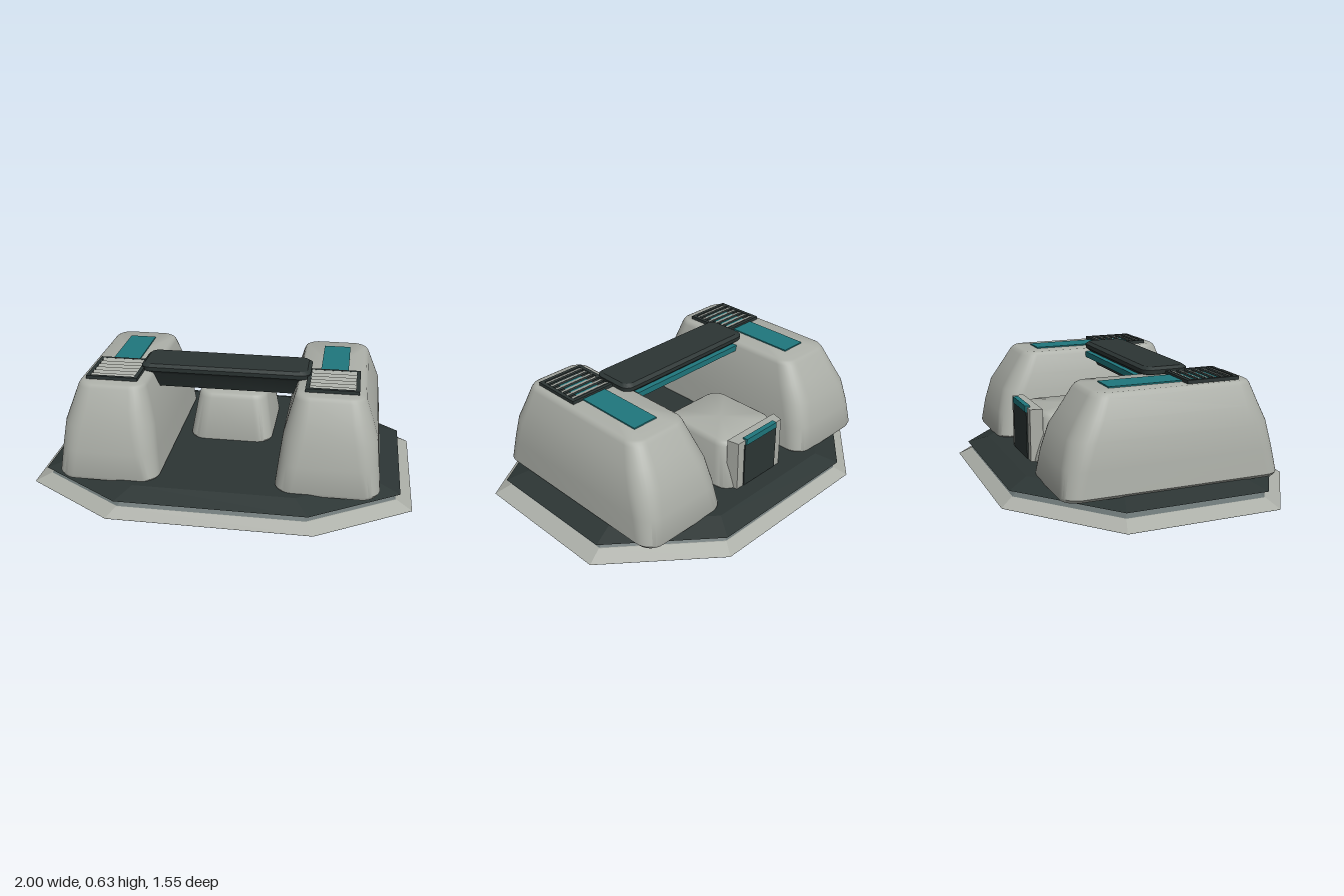
import * as THREE from 'three';
import { toCreasedNormals } from 'three/addons/utils/BufferGeometryUtils.js';

const mat = (name, color) => {
  const m = new THREE.MeshStandardMaterial({ color });
  m.name = name;
  return m;
};

// Closed octagonal ring, inset toward the middle by a scale
const octagon = (y, s) => [
  [1, -0.34], [1, 0.46], [0.52, 0.77], [-0.52, 0.77],
  [-1, 0.46], [-1, -0.34], [-0.48, -0.78], [0.48, -0.78],
].map(([x, z]) => [x * s, y, z * s]);

// Rounded rectangle ring: centre cx, half width hx, z range and corner radius
function roundRing(y, cx, hx, z0, z1, r) {
  const pts = [], n = 8;
  const corners = [[cx + hx - r, z1 - r], [cx - hx + r, z1 - r], [cx - hx + r, z0 + r], [cx + hx - r, z0 + r]];
  corners.forEach(([x, z], q) => {
    for (let i = 0; i <= n; i++) {
      const a = (q + i / n) * Math.PI / 2;
      pts.push([x + r * Math.cos(a), y, z + r * Math.sin(a)]);
    }
  });
  return pts;
}

// Skin between rings listed from bottom to top, with both ends capped
function loft(rings, crease = 0.65) {
  const pos = [], n = rings[0].length;
  const tri = (...p) => p.forEach((v) => pos.push(...v));
  const middle = (ring) => [0, 1, 2].map((k) => ring.reduce((s, p) => s + p[k], 0) / n);
  const last = rings[rings.length - 1], bottom = middle(rings[0]), top = middle(last);
  for (let j = 0; j < n; j++) {
    const k = (j + 1) % n;
    for (let i = 0; i < rings.length - 1; i++) {
      const lo = rings[i], up = rings[i + 1];
      tri(lo[j], up[j], up[k]);
      tri(lo[j], up[k], lo[k]);
    }
    tri(top, last[k], last[j]);
    tri(bottom, rings[0][j], rings[0][k]);
  }
  const g = new THREE.BufferGeometry();
  g.setAttribute('position', new THREE.Float32BufferAttribute(pos, 3));
  return toCreasedNormals(g, crease);
}

export function createModel() {
  const model = new THREE.Group();
  model.name = 'landingConsole';
  const grey = mat('lightGrey', 0xabaea7);
  const dark = mat('darkSlate', 0x2c3534);
  const slate = mat('midSlate', 0x667070);
  const teal = mat('teal', 0x1f777d);

  const add = (name, geometry, material, parent = model) => {
    const m = new THREE.Mesh(geometry, material);
    m.name = name;
    parent.add(m);
    return m;
  };
  // Box given by its ranges
  const box = (name, x0, x1, y0, y1, z0, z1, material, parent) => {
    const m = add(name, new THREE.BoxGeometry(x1 - x0, y1 - y0, z1 - z0), material, parent);
    m.position.set((x0 + x1) / 2, (y0 + y1) / 2, (z0 + z1) / 2);
    return m;
  };

  // Stepped octagonal base
  add('baseUnderside', loft([octagon(0, 0.999), octagon(0.004, 0.985)], 0.1), dark);
  add('baseSkirt', loft([octagon(0.002, 1), octagon(0.04, 0.92)], 0.1), grey);
  add('baseNeck', loft([octagon(0.04, 0.915), octagon(0.078, 0.84)], 0.1), slate);
  add('deck', loft([octagon(0.075, 0.937), octagon(0.115, 0.8)], 0.1), dark);

  // Two tall side pods
  for (const s of [1, -1]) {
    const side = new THREE.Group();
    side.name = s > 0 ? 'leftPod' : 'rightPod';
    model.add(side);
    add('podShell', loft([
      [0.105, 0.565, 0.25, -0.57, 0.57, 0.08],
      [0.122, 0.565, 0.265, -0.575, 0.575, 0.09],
      [0.25, 0.566, 0.252, -0.555, 0.554, 0.1],
      [0.38, 0.567, 0.237, -0.52, 0.528, 0.11],
      [0.47, 0.563, 0.21, -0.463, 0.492, 0.1],
      [0.565, 0.559, 0.18, -0.402, 0.453, 0.08],
      [0.58, 0.558, 0.172, -0.388, 0.443, 0.075],
      [0.587, 0.558, 0.16, -0.375, 0.43, 0.065],
    ].map(([y, cx, hx, z0, z1, r]) => roundRing(y, s * cx, hx, z0, z1, r))), grey, side);

    // Teal inlay and louvred vent on top
    const top = new THREE.Group();
    top.name = 'podTop';
    top.position.x = s * 0.565;
    side.add(top);
    box('inlay', -0.072, 0.072, 0.584, 0.594, -0.285, 0.11, teal, top);
    box('ventFloor', -0.135, 0.135, 0.582, 0.59, 0.1, 0.38, dark, top);
    box('ventGlow', -0.072, 0.072, 0.588, 0.594, 0.13, 0.33, teal, top);
    for (const e of [1, -1]) {
      box('ventSideRail', e * 0.125 - 0.01, e * 0.125 + 0.01, 0.583, 0.605, 0.1, 0.38, dark, top);
      box('ventEndRail', -0.125, 0.125, 0.583, 0.605, 0.24 + e * 0.131 - 0.009, 0.24 + e * 0.131 + 0.009, dark, top);
    }
    for (let i = 0; i < 6; i++) {
      const slat = add('ventSlat', new THREE.BoxGeometry(0.23, 0.01, 0.03),
        [grey, grey, grey, dark, grey, dark], top);
      slat.position.set(0, 0.597, 0.135 + i * 0.043);
      slat.rotation.x = 0.3;
    }
  }

  // Low centre pod
  add('centrePod', loft([
    [0.105, 0.222, -0.515, 0.03, 0.08],
    [0.122, 0.232, -0.52, 0.035, 0.09],
    [0.34, 0.196, -0.475, -0.03, 0.08],
    [0.36, 0.188, -0.465, -0.04, 0.075],
    [0.368, 0.176, -0.453, -0.052, 0.065],
  ].map(([y, hx, z0, z1, r]) => roundRing(y, -0.004, hx, z0, z1, r))), grey);

  // Upright panel behind the centre pod
  const panel = new THREE.Group();
  panel.name = 'rearPanel';
  model.add(panel);
  const frame = new THREE.Shape([
    [-0.185, 0.47], [0.178, 0.47], [0.165, 0.535], [-0.17, 0.535],
  ].map((p) => new THREE.Vector2(...p)));
  const frameGeometry = new THREE.ExtrudeGeometry(frame, { depth: 0.28, bevelEnabled: false });
  frameGeometry.rotateX(-Math.PI / 2).translate(0, 0.115, 0);
  add('panelFrame', frameGeometry, grey, panel);
  box('panelFront', -0.17, 0.165, 0.365, 0.385, -0.472, -0.466, dark, panel);
  box('panelFace', -0.125, 0.12, 0.12, 0.37, -0.542, -0.534, dark, panel);
  box('panelLight', -0.12, 0.112, 0.37, 0.404, -0.546, -0.518, teal, panel);

  // Bridge between the pods
  add('bridge', loft([
    [0.49, 0.4, 0.045, 0.185, 0.03],
    [0.575, 0.42, 0.005, 0.22, 0.04],
    [0.59, 0.445, -0.012, 0.235, 0.05],
    [0.612, 0.448, -0.014, 0.237, 0.05],
    [0.626, 0.43, 0.005, 0.218, 0.04],
  ].map(([y, hx, z0, z1, r]) => roundRing(y, -0.003, hx, z0, z1, r)), 0.4), dark);
  box('bridgeLight', -0.38, 0.375, 0.54, 0.572, -0.024, 0.03, teal);

  return model;
}
